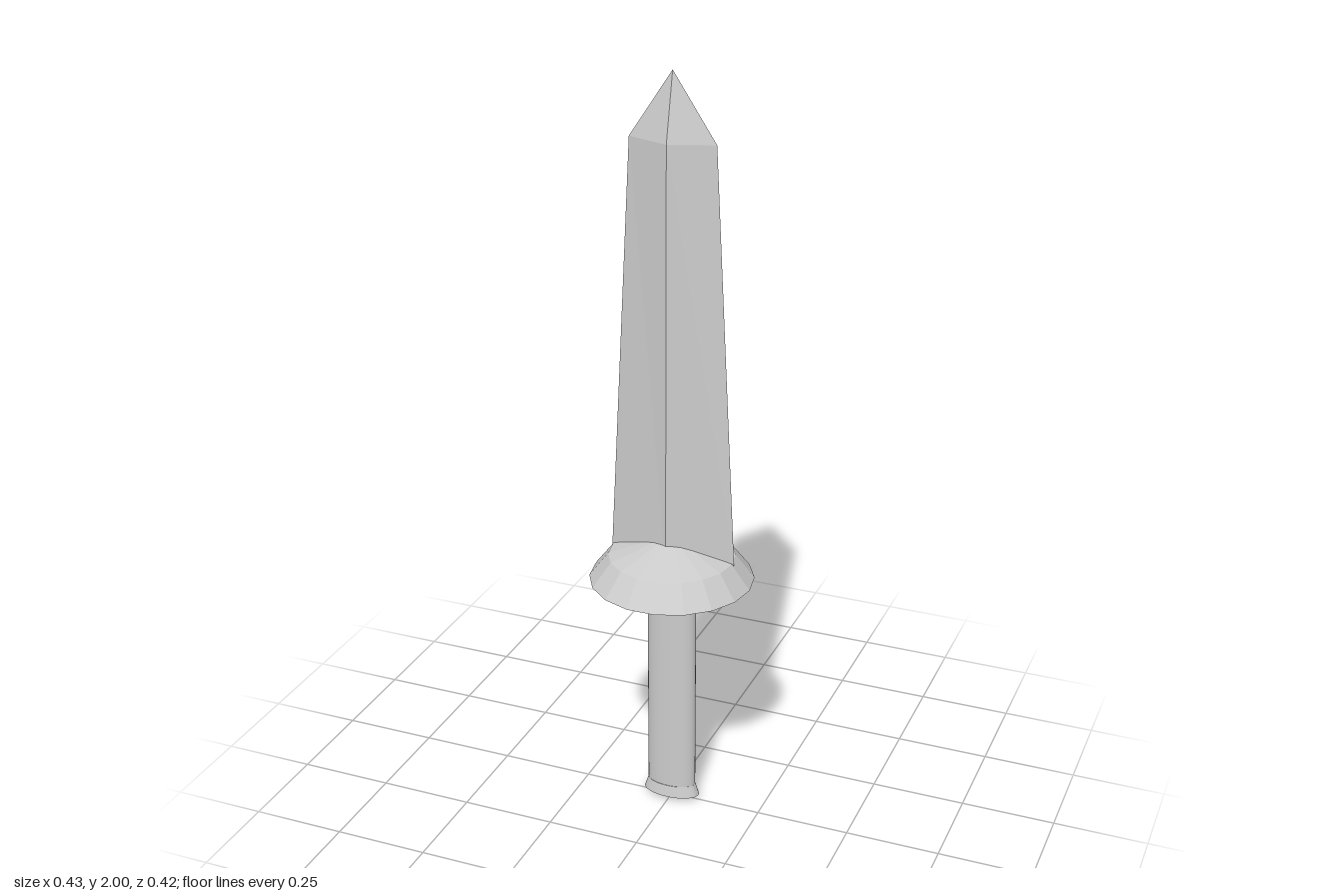
import * as THREE from 'three';
import { toCreasedNormals } from 'three/addons/utils/BufferGeometryUtils.js';

const grey = new THREE.MeshStandardMaterial({ color: 0xcccccc });
const greyFlat = new THREE.MeshStandardMaterial({ color: 0xcccccc, flatShading: true });

// Revolve [radius, y] pairs, listed bottom to top, starting on the x axis
function lathe(profile, sides) {
  const points = profile.map(([r, y]) => new THREE.Vector2(r, y));
  return new THREE.LatheGeometry(points, sides, Math.PI / 2);
}

function addPart(group, name, geometry, material) {
  const mesh = new THREE.Mesh(geometry, material);
  mesh.name = name;
  group.add(mesh);
  return mesh;
}

export function createModel() {
  const model = new THREE.Group();
  model.name = 'dagger';

  // Blade: diamond section, flattened in z, tapering to shoulders and a point
  const bladeGeo = lathe([[0, 0.73], [0.17, 0.73], [0.113, 1.83], [0, 2]], 4);
  const pos = bladeGeo.attributes.position;
  for (let i = 0; i < pos.count; i++) {
    const flatten = pos.getY(i) < 1 ? 0.285 : 0.355;
    pos.setZ(i, pos.getZ(i) * flatten);
  }
  const blade = addPart(model, 'blade', bladeGeo, greyFlat);
  blade.position.z = -0.005;

  // Guard: faceted disc with a bevelled rim and a shallow cone on top
  const guardProfile = [[0, 0.63], [0.06, 0.636], [0.215, 0.67], [0.165, 0.735], [0.05, 0.775], [0, 0.785]];
  addPart(model, 'guard', lathe(guardProfile, 18), greyFlat);

  // Grip: smooth oval rod
  const gripGeo = lathe([[0.067, 0.04], [0.067, 0.65]], 32);
  gripGeo.scale(1, 1, 0.5);
  addPart(model, 'grip', gripGeo, grey);

  // Pommel: flared oval end with a slightly domed base
  const pommelGeo = lathe([[0, 0], [0.078, 0.014], [0.067, 0.046], [0, 0.046]], 32);
  pommelGeo.scale(1, 1, 0.52);
  addPart(model, 'pommel', toCreasedNormals(pommelGeo, Math.PI / 6), grey);

  return model;
}
